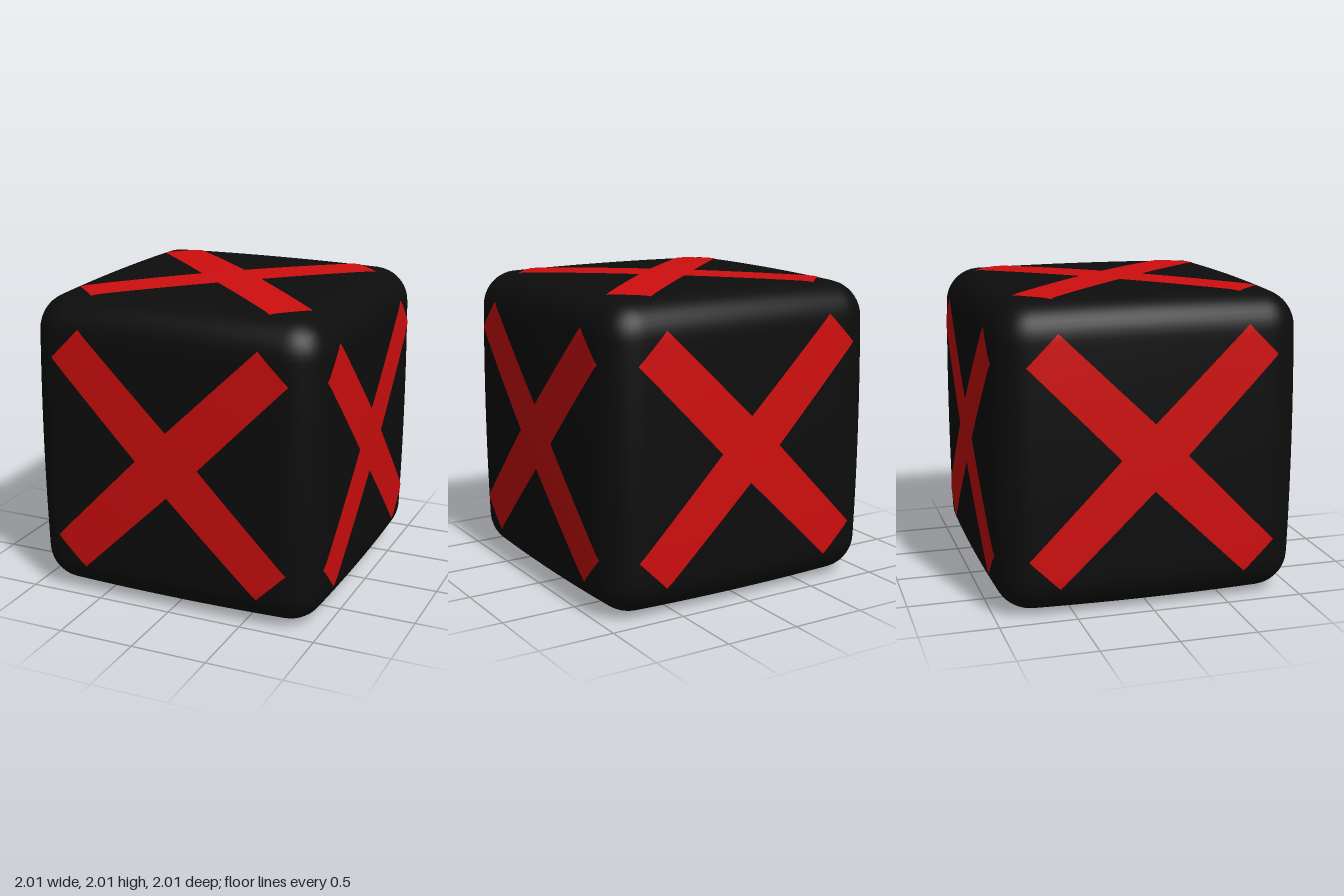
import * as THREE from 'three';
import { mergeVertices, mergeGeometries } from 'three/addons/utils/BufferGeometryUtils.js';

const HALF = 0.971;        // half size at the edges, before the faces swell
const R = 0.22;            // edge rounding
const CORE = HALF - R;
const LIFT = 0.004;        // paint thickness

// Swell each face gently toward its middle
function swell(p) {
  const k = [p.x, p.y, p.z].map(c => 1 - Math.min(1, (c / HALF) ** 2));
  return new THREE.Vector3(
    p.x * (1 + 0.015 * (k[1] + k[2])),
    p.y * (1 + 0.015 * (k[0] + k[2])),
    p.z * (1 + 0.015 * (k[0] + k[1])));
}

// Rounded cube: push a dense box onto a rounded shell, then swell it
function bodyGeometry() {
  const box = new THREE.BoxGeometry(2 * HALF, 2 * HALF, 2 * HALF, 44, 44, 44);
  box.deleteAttribute('normal');
  box.deleteAttribute('uv');
  const geo = mergeVertices(box, 1e-4);
  const pos = geo.attributes.position;
  const p = new THREE.Vector3();
  for (let i = 0; i < pos.count; i++) {
    p.fromBufferAttribute(pos, i);
    const core = p.clone().clampScalar(-CORE, CORE);
    p.sub(core).setLength(R).add(core);
    pos.setXYZ(i, ...swell(p).toArray());
  }
  geo.computeVertexNormals();
  return geo;
}

// Four-cornered patch that follows the front face of the body
function patch(a, b, c, d, nu, nv) {
  const geo = new THREE.PlaneGeometry(1, 1, nu, nv);
  const pos = geo.attributes.position;
  for (let i = 0; i < pos.count; i++) {
    const u = pos.getX(i) + 0.5, v = pos.getY(i) + 0.5;
    const at = k => (a[k] * (1 - u) + b[k] * u) * (1 - v) + (d[k] * (1 - u) + c[k] * u) * v;
    const x = at(0), y = at(1);
    const dx = Math.max(Math.abs(x) - CORE, 0), dy = Math.max(Math.abs(y) - CORE, 0);
    const z = CORE + Math.sqrt(R * R - dx * dx - dy * dy);
    const p = swell(new THREE.Vector3(x, y, z));
    pos.setXYZ(i, p.x, p.y, p.z + LIFT);
  }
  geo.computeVertexNormals();
  return geo;
}

// Diagonal cross: centre diamond and four arms
function crossGeometry() {
  const n = 0.212, far = 0.797, near = 0.604;
  const parts = [patch([0, -n], [n, 0], [0, n], [-n, 0], 6, 6)];
  for (let i = 0; i < 4; i++) {
    const turn = ([x, y]) => {
      for (let k = 0; k < i; k++) [x, y] = [-y, x];
      return [x, y];
    };
    parts.push(patch(turn([n, 0]), turn([far, near]), turn([near, far]), turn([0, n]), 24, 12));
  }
  return mergeGeometries(parts);
}

export function createModel() {
  const model = new THREE.Group();
  model.name = 'crossedCube';
  const black = new THREE.MeshStandardMaterial({ color: 0x0d0d0d });
  black.name = 'black';
  const red = new THREE.MeshStandardMaterial({ color: 0xd00e0e });
  red.name = 'red';

  const cube = new THREE.Group();
  cube.name = 'cube';
  cube.position.y = 1;
  model.add(cube);

  const body = new THREE.Mesh(bodyGeometry(), black);
  body.name = 'body';
  cube.add(body);

  // One painted cross on every face
  const cross = crossGeometry();
  const q = Math.PI / 2;
  const faces = {
    front: [0, 0], left: [0, q], back: [0, 2 * q], right: [0, -q], top: [-q, 0], bottom: [q, 0],
  };
  for (const [face, [rx, ry]] of Object.entries(faces)) {
    const mesh = new THREE.Mesh(cross, red);
    mesh.name = face + 'Cross';
    mesh.rotation.set(rx, ry, 0);
    cube.add(mesh);
  }
  return model;
}
